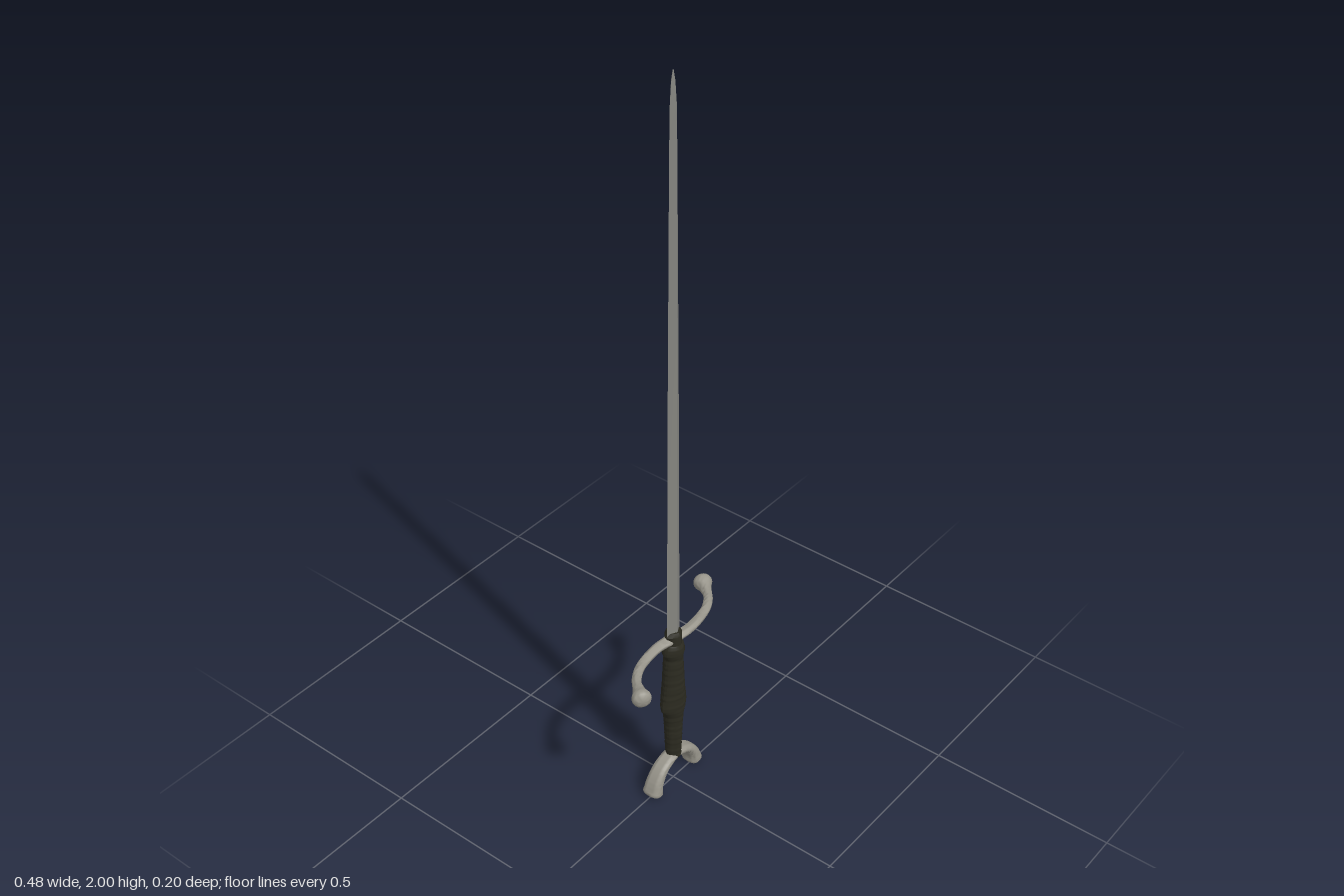
import * as THREE from 'three';
import { toCreasedNormals } from 'three/addons/utils/BufferGeometryUtils.js';

const material = (name, color) => {
  const m = new THREE.MeshStandardMaterial({ color });
  m.name = name;
  return m;
};

// Skin a row of cross-sections. Each has a centre c and two half-axes u, v.
// The rings wind so that u x v points along the path; exponent e < 1 squares the outline, e > 1 sharpens it.
function loft(sections, sides, e, crease) {
  const pos = [], index = [];
  const bend = (t) => Math.sign(t) * Math.pow(Math.abs(t), e);
  for (const { c, u, v } of sections) {
    for (let i = 0; i < sides; i++) {
      const a = (i / sides) * Math.PI * 2;
      const p = c.clone().addScaledVector(u, bend(Math.cos(a))).addScaledVector(v, bend(Math.sin(a)));
      pos.push(p.x, p.y, p.z);
    }
  }
  const last = sections.length - 1;
  const start = pos.length / 3;
  pos.push(...sections[0].c.toArray(), ...sections[last].c.toArray());
  for (let i = 0; i < sides; i++) {
    const j = (i + 1) % sides;
    for (let k = 0; k < last; k++) {
      const a = k * sides + i, b = k * sides + j;
      index.push(a, b, b + sides, a, b + sides, a + sides);
    }
    index.push(start, j, i, start + 1, last * sides + i, last * sides + j);
  }
  const g = new THREE.BufferGeometry();
  g.setAttribute('position', new THREE.Float32BufferAttribute(pos, 3));
  g.setIndex(index);
  return toCreasedNormals(g, crease);
}

// Upright section: height y, half width w in x, half depth d in z
const level = ([y, w, d]) => ({
  c: new THREE.Vector3(0, y, 0),
  u: new THREE.Vector3(0, 0, d),
  v: new THREE.Vector3(w, 0, 0),
});

// Linear lookup in rows of [key, a, b]
function sample(rows, t) {
  let i = 0;
  while (i < rows.length - 2 && t > rows[i + 1][0]) i++;
  const f = (t - rows[i][0]) / (rows[i + 1][0] - rows[i][0]);
  return rows[i].map((n, k) => THREE.MathUtils.lerp(n, rows[i + 1][k], f));
}

// Sweep along a curve; side is the fixed half-axis direction, size(t) gives [across, along side]
function sweep(curve, steps, side, size, sides, e) {
  const sections = [];
  for (let i = 0; i <= steps; i++) {
    const t = i / steps;
    const [across, deep] = size(t);
    const u = new THREE.Vector3().crossVectors(side, curve.getTangentAt(t)).normalize();
    sections.push({ c: curve.getPointAt(t), u: u.multiplyScalar(across), v: side.clone().multiplyScalar(deep) });
  }
  return loft(sections, sides, e, 0.9);
}

export function createModel() {
  const steel = material('blade steel', 0x858580);
  const iron = material('pale iron', 0x98958b);
  const leather = material('dark grip', 0x2b2a20);
  const sword = new THREE.Group();
  sword.name = 'sword';
  const add = (name, geometry, mat) => {
    const mesh = new THREE.Mesh(geometry, mat);
    mesh.name = name;
    sword.add(mesh);
  };

  // Diamond-section blade with a short tapered point
  const blade = [[0.46, 0.025, 0.014], [1.2, 0.02, 0.012], [1.8, 0.014, 0.01],
    [1.92, 0.012, 0.009], [1.975, 0.007, 0.006], [2, 0.0015, 0.0015]];
  add('blade', loft(blade.map(level), 4, 1, 0.3), steel);

  // Wrapped grip: a waisted profile with fine binding ridges
  const profile = [[0.085, 0.021, 0.021], [0.14, 0.023, 0.023], [0.2, 0.026, 0.025], [0.235, 0.03, 0.027],
    [0.26, 0.043, 0.029], [0.285, 0.041, 0.029], [0.33, 0.034, 0.028], [0.4, 0.029, 0.026],
    [0.425, 0.026, 0.025], [0.438, 0.034, 0.028], [0.452, 0.033, 0.028], [0.468, 0.025, 0.024]];
  const rings = [];
  for (let i = 0; i <= 96; i++) {
    const [y, w, d] = sample(profile, THREE.MathUtils.lerp(0.085, 0.468, i / 96));
    const ridge = [0, 0.0012, 0.0018, 0.0012][i % 4];
    rings.push(level([y, w + ridge, d + ridge]));
  }
  add('grip', loft(rings, 20, 1.25, 0.7), leather);

  // Collar between guard and blade
  const collar = [[0.46, 0.026, 0.024], [0.485, 0.024, 0.024], [0.495, 0.027, 0.023], [0.505, 0.019, 0.018]];
  add('collar', loft(collar.map(level), 12, 1.3, 0.6), leather);

  // S-curved crossguard with flared, domed ends
  const half = [[0.05, 0.007], [0.1, 0.003], [0.145, -0.009], [0.18, -0.031], [0.203, -0.058], [0.227, -0.09]];
  const path = [...half.map(([x, z]) => [-x, -z]).reverse(), [0, 0], ...half];
  const guardCurve = new THREE.CatmullRomCurve3(path.map(([x, z]) => new THREE.Vector3(x, 0.478, z)));
  const guardSize = [[0, 0.017, 0.011], [0.2, 0.014, 0.011], [0.5, 0.012, 0.011], [0.76, 0.012, 0.012],
    [0.85, 0.016, 0.016], [0.93, 0.025, 0.024], [0.97, 0.024, 0.023], [1, 0.012, 0.012]];
  add('crossguard', sweep(guardCurve, 80, new THREE.Vector3(0, 1, 0),
    (t) => sample(guardSize, Math.abs(2 * t - 1)).slice(1), 18, 1), iron);

  // Arched pommel opening downwards, widening towards its feet
  const arch = [[-0.085, 0.008, 0], [-0.076, 0.04, 0], [-0.05, 0.074, 0], [0, 0.092, 0],
    [0.05, 0.074, -0.001], [0.076, 0.04, -0.003], [0.085, 0.008, -0.004]];
  const archCurve = new THREE.CatmullRomCurve3(arch.map((p) => new THREE.Vector3(...p)));
  const archSize = [[0, 0.011, 0.02], [0.5, 0.014, 0.022], [0.85, 0.018, 0.025], [0.96, 0.021, 0.027], [1, 0.018, 0.024]];
  add('pommel', sweep(archCurve, 48, new THREE.Vector3(0, 0, 1),
    (t) => sample(archSize, Math.abs(2 * t - 1)).slice(1), 20, 0.8), iron);

  // Rest the feet of the pommel on the ground
  const lift = new THREE.Box3().setFromObject(sword).min.y;
  sword.children.find((m) => m.name === 'pommel').position.y = -lift;
  return sword;
}
